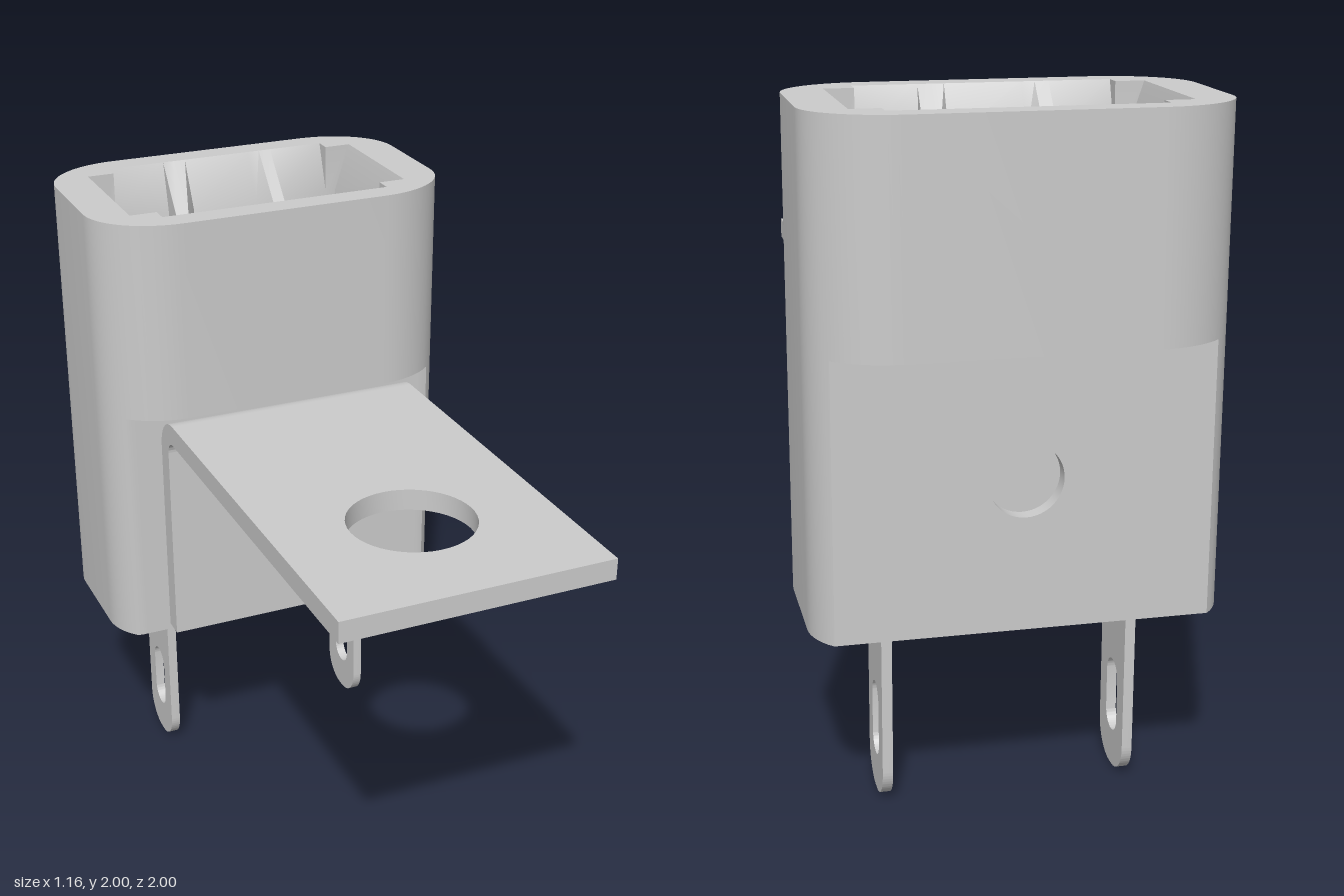
import * as THREE from 'three';
import { mergeGeometries, toCreasedNormals } from 'three/addons/utils/BufferGeometryUtils.js';

const ZC = -0.655; // centre line of the housing
const mat = new THREE.MeshStandardMaterial({ color: 0xcccccc });
const solid = new THREE.MeshStandardMaterial({ color: 0xcccccc, side: THREE.DoubleSide });

function mesh(name, geo, material = mat) {
  const m = new THREE.Mesh(toCreasedNormals(geo, 0.5), material);
  m.name = name;
  return m;
}

// Vertical or sloping wall between two [x, z] loops
function wall(low, y0, high, y1, inward = false) {
  const pos = [];
  const n = low.length;
  for (let i = 0; i < n; i++) {
    const j = (i + 1) % n;
    const a = [low[i][0], y0, low[i][1]], b = [low[j][0], y0, low[j][1]];
    const c = [high[j][0], y1, high[j][1]], d = [high[i][0], y1, high[i][1]];
    const tris = inward ? [a, b, c, a, c, d] : [a, c, b, a, d, c];
    pos.push(...tris.flat());
  }
  const g = new THREE.BufferGeometry();
  g.setAttribute('position', new THREE.Float32BufferAttribute(pos, 3));
  return g;
}

// Flat horizontal face from [x, z] loops
function cap(outer, holes, y, up = true) {
  const s = up ? -1 : 1;
  const pts = (l) => l.map(([x, z]) => new THREE.Vector2(x, s * z));
  const shape = new THREE.Shape(pts(outer));
  holes.forEach((h) => shape.holes.push(new THREE.Path(pts(h))));
  const g = new THREE.ShapeGeometry(shape).toNonIndexed();
  g.deleteAttribute('uv');
  g.deleteAttribute('normal');
  return g.rotateX(s * Math.PI / 2).translate(0, y, 0);
}

function extrude(shape, depth) {
  return new THREE.ExtrudeGeometry(shape, { depth, bevelEnabled: false, curveSegments: 24 });
}

// Extrudes a (z, y) shape along x, from x0 to x1
function extrudeX(shape, x0, x1) {
  return extrude(shape, x1 - x0).rotateY(-Math.PI / 2).translate(x1, 0, 0);
}

function rect(x0, y0, x1, y1) {
  return new THREE.Shape([[x0, y0], [x1, y0], [x1, y1], [x0, y1]].map((p) => new THREE.Vector2(...p)));
}

function circle(x, y, r) {
  return new THREE.Path().absarc(x, y, r, 0, Math.PI * 2, true);
}

// Mirrors a quarter loop of [x, dz] points into a full [x, z] loop
function quarterLoop(q) {
  const r = [...q].reverse();
  return [
    ...q.map(([x, d]) => [x, ZC + d]), ...r.map(([x, d]) => [-x, ZC + d]),
    ...q.map(([x, d]) => [-x, ZC - d]), ...r.map(([x, d]) => [x, ZC - d]),
  ];
}

function housing() {
  const corner = [];
  for (let i = 0; i <= 16; i++) {
    const t = (i / 16) * Math.PI / 2;
    corner.push([0.33 + 0.25 * Math.cos(t), 0.145 + 0.2 * Math.sin(t)]);
  }
  const outer = quarterLoop(corner);

  // Lower part: flattened front and back, with a pocket for the back panel
  const lower = outer.map(([x, z]) => [x, Math.min(-0.38, Math.max(-0.925, z))]);
  lower.splice(corner.length * 3, 0, [-0.3, -0.925], [-0.3, -0.88], [0.3, -0.88], [0.3, -0.925]);

  // Socket opening, narrowing from the rim to the well
  const rim = quarterLoop([[0.455, 0.213], [0.37, 0.213], [0.37, 0.265], [0.19, 0.265],
    [0.185, 0.265], [0.15, 0.265], [0.11, 0.265]]);
  const well = quarterLoop([[0.405, 0.213], [0.37, 0.213], [0.37, 0.213], [0.19, 0.213],
    [0.19, 0.132], [0.15, 0.132], [0.11, 0.192]]);
  const floor = quarterLoop([[0.19, 0.132], [0.15, 0.132], [0.11, 0.192]]);
  const windows = [1, -1].map((s) => {
    const xs = s > 0 ? [0.19, 0.405] : [-0.405, -0.19];
    return [[xs[1], ZC - 0.213], [xs[1], ZC + 0.213], [xs[0], ZC + 0.213], [xs[0], ZC - 0.213]];
  });

  const yBase = 0.58, yStep = 1.37, yFloor = 1.3, yWell = 1.85, yTop = 2;
  return mergeGeometries([
    wall(lower, yBase, lower, yStep),
    wall(outer, yStep, outer, yTop),
    wall(well, yWell, rim, yTop, true),
    wall(well, yFloor, well, yWell, true),
    ...windows.map((w) => wall(w, yBase, w, yFloor, true)),
    cap(outer, [rim], yTop),
    cap(outer, windows, yStep, false),
    cap(floor, [], yFloor),
    cap(lower, windows, yBase, false),
  ].filter((g, i) => i !== 7).concat(stepLedges(outer, yStep)));
}

// Downward ledges where the upper part overhangs front and back
function stepLedges(outer, y) {
  const front = outer.filter(([, z]) => z > -0.385);
  const back = outer.filter(([, z]) => z < -0.92);
  return [
    cap([[0.52, -0.38], ...front, [-0.52, -0.38]], [], y, false),
    cap([[-0.52, -0.925], ...back, [0.52, -0.925]], [], y, false),
  ];
}

function bracket() {
  const g = new THREE.Group();
  g.name = 'mountingBracket';

  const tab = rect(-0.41, -1, 0.41, 0.27);
  tab.holes.push(circle(0, -0.58, 0.187));
  g.add(mesh('bracketTab', extrude(tab, 0.065).rotateX(-Math.PI / 2).translate(0, 1.305, 0)));

  const plate = rect(-0.41, 0.6, 0.41, 1.26);
  plate.holes.push(circle(0, 1.01, 0.105));
  g.add(mesh('bracketPlate', extrude(plate, 0.065).translate(0, 0, -0.38)));

  const bend = new THREE.Shape();
  bend.absarc(-0.27, 1.26, 0.11, Math.PI / 2, Math.PI, false);
  bend.absarc(-0.27, 1.26, 0.045, Math.PI, Math.PI / 2, true);
  g.add(mesh('bracketBend', extrudeX(bend, -0.41, 0.41)));
  return g;
}

function terminal(side) {
  const g = new THREE.Group();
  g.name = side > 0 ? 'leftTerminal' : 'rightTerminal';

  // Solder blade with rounded end and slot
  const w = 0.11, r = 0.1;
  const blade = new THREE.Shape();
  blade.moveTo(ZC + w, 1.1).lineTo(ZC - w, 1.1);
  blade.absarc(ZC - w + r, r, r, Math.PI, Math.PI * 1.5, false);
  blade.absarc(ZC + w - r, r, r, Math.PI * 1.5, Math.PI * 2, false);
  const slot = new THREE.Path();
  slot.absarc(ZC, 0.285, 0.05, 0, Math.PI, false);
  slot.absarc(ZC, 0.16, 0.05, Math.PI, Math.PI * 2, false);
  blade.holes.push(slot);
  const [b0, b1] = side > 0 ? [0.34, 0.37] : [-0.37, -0.34];
  g.add(mesh('solderBlade', extrudeX(blade, b0, b1)));

  // Pair of folded spring arms gripping the centre line
  const [x0, x1] = side > 0 ? [0.195, 0.4] : [-0.4, -0.195];
  const path = [[0.09, 0.9], [0.04, 1.5], [0.09, 1.81], [0.11, 1.84], [0.13, 1.82], [0.145, 1.65]];
  for (const s of [1, -1]) {
    const line = path.map(([d, y]) => new THREE.Vector2(ZC + s * d, y));
    const back = path.map(([d, y], i) =>
      new THREE.Vector2(ZC + s * (d + (i === 3 ? 0 : 0.025)), i === 3 ? y - 0.03 : y - (i === 2 ? 0.04 : 0)));
    // the outer leg thickens away from the centre line
    back[4].set(ZC + s * 0.115, 1.79);
    back[5].set(ZC + s * 0.12, 1.65);
    g.add(mesh('springArm', extrudeX(new THREE.Shape([...line, ...back.reverse()]), x0, x1), solid));
  }
  return g;
}

export function createModel() {
  const model = new THREE.Group();
  model.name = 'panelSocket';
  model.add(mesh('housing', housing()));

  // Back panel with a shallow round recess
  const panel = rect(-0.3, 0.58, 0.3, 1.37);
  panel.holes.push(circle(0, 1.01, 0.105));
  model.add(mesh('backPanel', extrude(panel, 0.045).translate(0, 0, -0.925)));

  model.add(bracket(), terminal(1), terminal(-1));
  return model;
}
